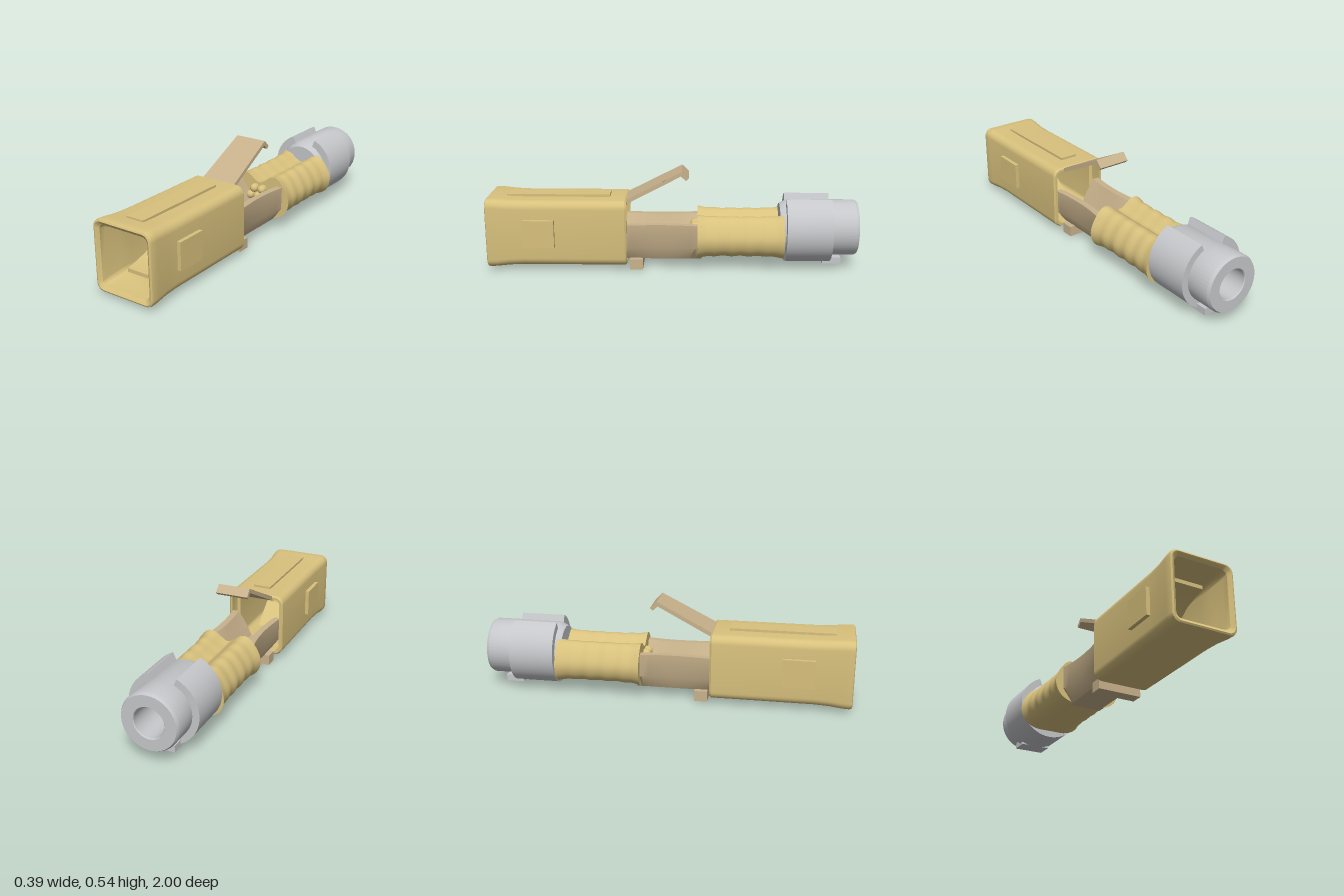
import * as THREE from 'three';
import { toCreasedNormals } from 'three/addons/utils/BufferGeometryUtils.js';

const gold = new THREE.MeshStandardMaterial({ color: 0xd8c17d });
gold.name = 'sand gold';
const tan = new THREE.MeshStandardMaterial({ color: 0xc8b28c });
tan.name = 'dull tan';
const grey = new THREE.MeshStandardMaterial({ color: 0xc6c7ca });
grey.name = 'light grey';

const MID = 0.21; // height of the long axis

// Skin between equal loops of [x, y, z]; loops run counter-clockwise seen from +z, z rising
function loft(rings, { caps = false, wrap = false, crease = 0.6 } = {}) {
  const n = rings[0].length, pos = [];
  const tri = (...p) => p.forEach((v) => pos.push(...v));
  const last = wrap ? rings.length : rings.length - 1;
  for (let i = 0; i < last; i++) {
    const a = rings[i], b = rings[(i + 1) % rings.length];
    for (let j = 0; j < n; j++) {
      const k = (j + 1) % n;
      tri(a[j], a[k], b[j]);
      tri(a[k], b[k], b[j]);
    }
  }
  if (caps) {
    const back = rings[0], front = rings[rings.length - 1];
    const faces = THREE.ShapeUtils.triangulateShape(back.map((p) => new THREE.Vector2(p[0], p[1])), []);
    for (const [a, b, c] of faces) {
      tri(back[c], back[b], back[a]);
      tri(front[a], front[b], front[c]);
    }
  }
  const g = new THREE.BufferGeometry();
  g.setAttribute('position', new THREE.Float32BufferAttribute(pos, 3));
  return toCreasedNormals(g, crease);
}

// Rounded rectangle loop about the axis
function roundedRing(hw, hh, r, z) {
  const pts = [], steps = 6;
  [[1, 1], [-1, 1], [-1, -1], [1, -1]].forEach(([sx, sy], q) => {
    for (let i = 0; i <= steps; i++) {
      const a = (q + i / steps) * Math.PI / 2;
      pts.push([sx * (hw - r) + r * Math.cos(a), MID + sy * (hh - r) + r * Math.sin(a), z]);
    }
  });
  return pts;
}

// Side profile of [z, y] points, extruded across x; half width follows halfWidth(z)
function sideProfile(points, halfWidth) {
  const shape = new THREE.Shape(points.map(([z, y]) => new THREE.Vector2(z, y)));
  const g = new THREE.ExtrudeGeometry(shape, { depth: 2, bevelEnabled: false });
  g.translate(0, 0, -1).rotateY(-Math.PI / 2);
  const p = g.attributes.position;
  for (let i = 0; i < p.count; i++) p.setX(i, p.getX(i) * halfWidth(p.getZ(i)));
  return toCreasedNormals(g, 0.5);
}

export function createModel() {
  const model = new THREE.Group();
  const add = (name, geometry, material, x = 0, y = 0, z = 0) => {
    const m = new THREE.Mesh(geometry, material);
    m.name = name;
    m.position.set(x, y, z);
    model.add(m);
    return m;
  };

  // Hollow housing: outside from back to front, then inside from front to back
  const housing = [
    [0.158, 0.173, 0.04, 0.245], [0.165, 0.18, 0.045, 0.255], [0.165, 0.18, 0.045, 0.8],
    [0.168, 0.183, 0.045, 0.88], [0.175, 0.189, 0.045, 0.95], [0.177, 0.19, 0.045, 0.985],
    [0.174, 0.187, 0.042, 0.996], [0.166, 0.179, 0.038, 1], [0.16, 0.173, 0.035, 0.996],
    [0.147, 0.16, 0.03, 0.985], [0.145, 0.158, 0.03, 0.95], [0.13, 0.143, 0.03, 0.87],
    [0.127, 0.14, 0.03, 0.8], [0.127, 0.14, 0.03, 0.32], [0.142, 0.157, 0.03, 0.31],
    [0.145, 0.16, 0.03, 0.245],
  ].map((r) => roundedRing(...r));
  add('housing', loft(housing, { wrap: true }), gold);

  // Raised pads on the housing
  add('topPad', new THREE.BoxGeometry(0.1, 0.03, 0.56), gold, 0, 0.388, 0.62);
  for (const s of [-1, 1]) add('sidePad', new THREE.BoxGeometry(0.03, 0.15, 0.17), gold, s * 0.171, 0.215, 0.715);

  // Wedge catches on the inner floor and ceiling
  const wedge = [[0.88, 0.095], [0.88, 0.115], [0.81, 0.122], [0.74, 0.143], [0.68, 0.18],
    [0.64, 0.18], [0.5, 0.065], [0.82, 0.065]];
  const wedgeWidth = (z) => (z > 0.85 ? 0.08 : 0.088);
  add('lowerCatch', sideProfile(wedge, wedgeWidth), gold);
  add('upperCatch', sideProfile(wedge.map(([z, y]) => [z, 2 * MID - y]), wedgeWidth), gold);

  // Raised lever with hooked tip
  const lever = [[0.28, 0.37], [0.25, 0.386], [-0.05, 0.541], [-0.087, 0.504], [-0.073, 0.49],
    [-0.045, 0.515], [0.25, 0.362], [0.28, 0.352]];
  add('lever', sideProfile(lever, (z) => 0.09 + 0.01 * THREE.MathUtils.clamp((z + 0.05) / 0.3, 0, 1)), tan);

  // Foot under the back of the housing
  add('foot', new THREE.BoxGeometry(0.244, 0.058, 0.07), tan, 0, 0.029, 0.195);

  // Waisted open trough
  const trough = [];
  for (let i = 0; i <= 12; i++) {
    const z = -0.16 + 0.42 * i / 12;
    const w = 0.131 + 0.022 * ((z - 0.05) / 0.2) ** 2 * (z > 0.05 ? 0.7 : 1);
    const half = [[0.09, 0.055], [w - 0.004, 0.13], [w, 0.257], [w - 0.036, 0.257], [0.065, 0.19], [0.03, 0.12]];
    const mirrored = half.map(([x, y]) => [-x, y]).reverse();
    trough.push([...half, ...mirrored].map(([x, y]) => [x, y, z]));
  }
  add('trough', loft(trough, { caps: true }), tan);

  // Ribbed grip sleeve with a valley along its top
  const halfSection = [[0.035, 0.273], [0.075, 0.3], [0.115, 0.301], [0.165, 0.25], [0.193, 0.175],
    [0.17, 0.105], [0.11, 0.066]];
  const outline = [[0, 0.255], ...halfSection, [0, 0.06], ...halfSection.map(([x, y]) => [-x, y]).reverse()]
    .reverse().map(([x, y]) => new THREE.Vector3(x, y, 0));
  const section = new THREE.CatmullRomCurve3(outline, true).getPoints(64).slice(0, -1);
  const sleeve = [];
  for (let i = 0; i <= 48; i++) {
    const t = i / 48, edge = Math.abs(2 * t - 1);
    const s = 0.915 + 0.085 * edge ** 5 + 0.014 * Math.cos(t * Math.PI * 10) * (1 - edge ** 4);
    sleeve.push(section.map((p) => [p.x * s, 0.183 + (p.y - 0.183) * s, -0.6 + 0.465 * t]));
  }
  add('gripSleeve', loft(sleeve, { caps: true, crease: 0.8 }), gold);

  // Bundle of seven round-ended wires
  const wire = new THREE.CapsuleGeometry(0.024, 0.08, 6, 16).rotateX(Math.PI / 2);
  add('wire', wire, gold, 0, 0.181, -0.16);
  for (let i = 0; i < 6; i++) {
    const a = i * Math.PI / 3;
    add('wire', wire, gold, 0.05 * Math.cos(a), 0.181 + 0.05 * Math.sin(a), -0.16);
  }

  // Coupling tube with a blind bore at the back; lathe axis turned so +y becomes -z
  const tube = [[0, 0.58], [0.13, 0.58], [0.15, 0.62], [0.15, 0.85], [0.152, 0.86], [0.152, 0.985],
    [0.144, 1], [0.084, 1], [0.08, 0.995], [0.08, 0.8], [0, 0.8]].map(([r, h]) => new THREE.Vector2(r, h));
  const tubeGeo = toCreasedNormals(new THREE.LatheGeometry(tube, 48).rotateX(-Math.PI / 2), 0.5);
  add('couplingTube', tubeGeo, grey, 0, 0.215, 0);

  // Collar around the tube, open along the top
  const gap = 0.4;
  const ring = new THREE.Shape();
  ring.absarc(0, 0, 0.188, Math.PI / 2 + gap, Math.PI * 2.5 - gap, false);
  ring.absarc(0, 0, 0.145, Math.PI * 2.5 - gap, Math.PI / 2 + gap, true);
  const collar = new THREE.ExtrudeGeometry(ring, { depth: 0.245, bevelEnabled: false, curveSegments: 40 });
  add('collar', toCreasedNormals(collar, 0.5), grey, 0, 0.215, -0.857);

  // Key tab below the collar
  add('keyTab', new THREE.BoxGeometry(0.17, 0.036, 0.1), grey, 0, 0.05, -0.865);

  return model;
}
